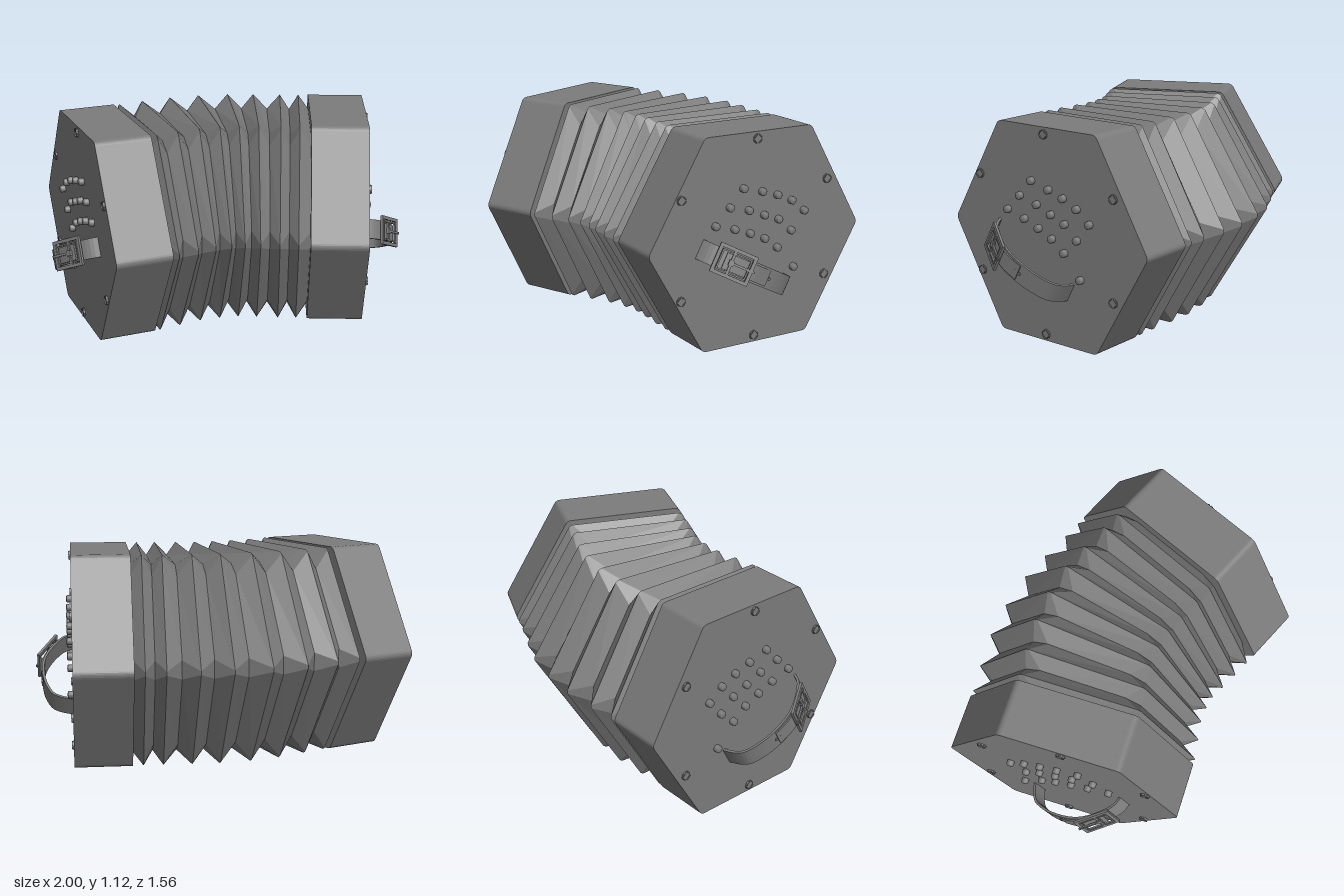
import * as THREE from 'three';

const dark = new THREE.MeshStandardMaterial({ color: 0x7c7c7c });
const darkDouble = new THREE.MeshStandardMaterial({ color: 0x7c7c7c, side: THREE.DoubleSide });
const MID = 0.555;      // height of the axis
const DEPTH = 0.305;    // thickness of an end box
const TILT = 0.418;     // swing of the tilted end

// Mirror a geometry in x and restore its winding
function mirrorX(geo) {
  const g = geo.index ? geo.toNonIndexed() : geo;
  g.scale(-1, 1, 1);
  for (const attr of Object.values(g.attributes)) {
    const n = attr.itemSize, a = attr.array;
    for (let i = 0; i < a.length; i += 3 * n) {
      for (let j = 0; j < n; j++) {
        const t = a[i + n + j];
        a[i + n + j] = a[i + 2 * n + j];
        a[i + 2 * n + j] = t;
      }
    }
  }
  return g;
}

// Hexagon with slightly softened corners, flat side up
function hexShape(r, soft) {
  const shape = new THREE.Shape();
  const p = k => new THREE.Vector2(Math.cos(k * Math.PI / 3), Math.sin(k * Math.PI / 3)).multiplyScalar(r);
  for (let k = 0; k < 6; k++) {
    const c = p(k), a = c.clone().lerp(p(k - 1), soft), b = c.clone().lerp(p(k + 1), soft);
    if (k === 0) shape.moveTo(a.x, a.y); else shape.lineTo(a.x, a.y);
    shape.quadraticCurveTo(c.x, c.y, b.x, b.y);
  }
  shape.closePath();
  return shape;
}

// Curved leather band: side profile of (along, out) points, extruded across its width
function bandGeometry(points, thick, width) {
  const curve = new THREE.SplineCurve(points.map(p => new THREE.Vector2(...p)));
  const N = 28, outer = [], inner = [];
  for (let i = 0; i <= N; i++) {
    const c = curve.getPoint(i / N), t = curve.getTangent(i / N);
    const n = new THREE.Vector2(-t.y, t.x).multiplyScalar(thick / 2);
    outer.push(c.clone().add(n));
    inner.unshift(c.clone().sub(n));
  }
  const geo = new THREE.ExtrudeGeometry(new THREE.Shape([...outer, ...inner]), { depth: width, bevelEnabled: false });
  return geo.translate(0, 0, -width / 2);
}

// Button centres (z, y) measured from the end's axis, one row per line
const BUTTONS = [
  [0.095, 0.83], [-0.02, 0.80], [-0.115, 0.77], [-0.205, 0.73], [-0.285, 0.665],
  [0.175, 0.742], [0.06, 0.712], [-0.035, 0.675], [-0.125, 0.64], [-0.205, 0.57],
  [0.26, 0.657], [0.145, 0.625], [0.05, 0.59], [-0.04, 0.55], [-0.12, 0.49], [-0.225, 0.37],
];

// One end; outward is +x for side = 1 and -x for side = -1
function makeEnd(side) {
  const group = new THREE.Group();
  const add = (name, geo, matrix) => {
    if (matrix) geo.applyMatrix4(matrix);
    const mesh = new THREE.Mesh(side < 0 ? mirrorX(geo) : geo, dark);
    mesh.name = name;
    group.add(mesh);
  };

  // Box body
  const body = new THREE.ExtrudeGeometry(hexShape(0.644, 0.035), { depth: DEPTH, bevelEnabled: false, curveSegments: 5 });
  add('endBox', body.rotateY(Math.PI / 2).translate(-DEPTH, MID, 0));

  // Finger buttons
  const buttonProfile = [[0.02, -0.01], [0.02, 0.022], [0.015, 0.027], [0, 0.028]].map(p => new THREE.Vector2(...p));
  for (const [z, y] of BUTTONS) {
    add('button', new THREE.LatheGeometry(buttonProfile, 18).rotateZ(-Math.PI / 2).translate(0, y, z));
  }

  // Screws: disc with four quarter segments leaving a cross slot
  for (let k = 0; k < 6; k++) {
    const a = k * Math.PI / 3 + Math.PI / 2;
    const z = 0.012 + Math.cos(a) * 0.514, y = MID + Math.sin(a) * 0.521;
    add('screwBase', new THREE.CylinderGeometry(0.025, 0.025, 0.01, 20).rotateZ(Math.PI / 2).translate(0, y, z));
    for (let q = 0; q < 4; q++) {
      const s = new THREE.Shape();
      s.moveTo(0.003, 0.003);
      s.absarc(0, 0, 0.023, 0.13, Math.PI / 2 - 0.13, false);
      s.closePath();
      const g = new THREE.ExtrudeGeometry(s, { depth: 0.008, bevelEnabled: false, curveSegments: 6 });
      add('screwHead', g.rotateZ(q * Math.PI / 2).rotateY(Math.PI / 2).translate(0.003, y, z));
    }
  }

  // Hand strap frame: x along the strap, y outward, z across
  const frame = new THREE.Matrix4().makeBasis(
    new THREE.Vector3(0, 0.464, 0.886), new THREE.Vector3(1, 0, 0), new THREE.Vector3(0, 0.886, -0.464));
  frame.setPosition(0, 0.372, 0.004);
  add('handStrap', bandGeometry([[-0.175, -0.005], [-0.152, 0.065], [-0.11, 0.113], [0, 0.15], [0.14, 0.156],
    [0.25, 0.122], [0.35, 0.056], [0.385, -0.005]], 0.013, 0.105), frame);
  add('strapTail', bandGeometry([[0.05, 0.163], [0.15, 0.165], [0.25, 0.133], [0.3, 0.106]], 0.01, 0.085), frame);

  // Eyelets of the strap
  for (const s of [0.04, 0.075, 0.11]) {
    add('strapEyelet', new THREE.CylinderGeometry(0.008, 0.008, 0.006, 10).translate(s, 0.163 + s * 0.05, 0), frame);
  }

  // Buckle
  const buckle = frame.clone()
    .multiply(new THREE.Matrix4().makeTranslation(0.258, 0.133, 0))
    .multiply(new THREE.Matrix4().makeRotationZ(-0.5));
  const bar = (name, l, h, w, x, y, z) => add(name, new THREE.BoxGeometry(l, h, w).translate(x, y, z), buckle);
  for (const e of [-1, 1]) {
    bar('buckleSide', 0.2, 0.014, 0.018, 0, 0.004, e * 0.069);
    bar('buckleEnd', 0.018, 0.014, 0.156, e * 0.092, 0.004, 0);
    bar('buckleInnerSide', 0.16, 0.01, 0.008, 0, 0.007, e * 0.05);
    bar('buckleInnerEnd', 0.008, 0.01, 0.1, e * 0.076, 0.007, 0);
  }
  bar('bucklePin', 0.014, 0.012, 0.14, 0.015, 0.005, 0);
  bar('buckleProng', 0.13, 0.01, 0.012, -0.045, 0.012, 0);
  bar('buckleHinge', 0.026, 0.018, 0.03, 0.015, 0.008, 0);
  return group;
}

// Pleated bellows: rings alternate between sharp ridges and corner-cut valleys
function makeBellows() {
  // Back and front points (x, z) of each ridge
  const ridges = [
    [-0.685, -0.52, -0.175, 0.64], [-0.555, -0.59, -0.08, 0.58], [-0.385, -0.68, 0.01, 0.53], [-0.2, -0.74, 0.09, 0.5],
    [0, -0.78, 0.16, 0.49], [0.17, -0.78, 0.24, 0.49], [0.34, -0.77, 0.34, 0.49], [0.447, -0.77, 0.437, 0.49],
  ].map(([bx, bz, fx, fz]) => ({ x: (bx + fx) / 2, z: (bz + fz) / 2, a: Math.atan2(fx - bx, fz - bz) }));
  const valley = (p, q) => ({ x: (p.x + q.x) / 2, z: (p.z + q.z) / 2, a: (p.a + q.a) / 2, valley: true });
  const rings = [{ x: -0.463, z: 0.072, a: TILT, valley: true }];
  ridges.forEach((r, i) => {
    rings.push(r);
    if (i < ridges.length - 1) rings.push(valley(r, ridges[i + 1]));
  });
  rings.push({ x: 0.502, z: -0.14, a: 0, valley: true });

  const pos = [], idx = [], M = 12;
  for (const ring of rings) {
    const r = ring.valley ? 0.545 : 0.636, cut = ring.valley ? 0.09 : 0.015;
    for (let k = 0; k < M; k++) {
      const t = Math.floor(k / 2) * Math.PI / 3 + (k % 2 ? cut : -cut);
      const w = r * Math.cos(t);
      pos.push(ring.x + w * Math.sin(ring.a), MID + r * Math.sin(t), ring.z + w * Math.cos(ring.a));
    }
  }
  for (let i = 0; i < rings.length - 1; i++) {
    for (let k = 0; k < M; k++) {
      const a = i * M + k, b = i * M + (k + 1) % M, c = a + M, d = b + M;
      idx.push(a, c, b, b, c, d);
    }
  }
  let geo = new THREE.BufferGeometry();
  geo.setAttribute('position', new THREE.Float32BufferAttribute(pos, 3));
  geo.setIndex(idx);
  geo = geo.toNonIndexed();
  geo.computeVertexNormals();
  const mesh = new THREE.Mesh(geo, darkDouble);
  mesh.name = 'bellows';
  return mesh;
}

export function createModel() {
  const model = new THREE.Group();
  model.name = 'concertina';

  const leftEnd = makeEnd(1);
  leftEnd.name = 'leftEnd';
  leftEnd.position.set(0.805, 0, -0.14);

  const rightEnd = makeEnd(-1);
  rightEnd.name = 'rightEnd';
  rightEnd.position.set(-0.74, 0, 0.195);
  rightEnd.rotation.y = TILT;

  model.add(leftEnd, rightEnd, makeBellows());
  return model;
}
